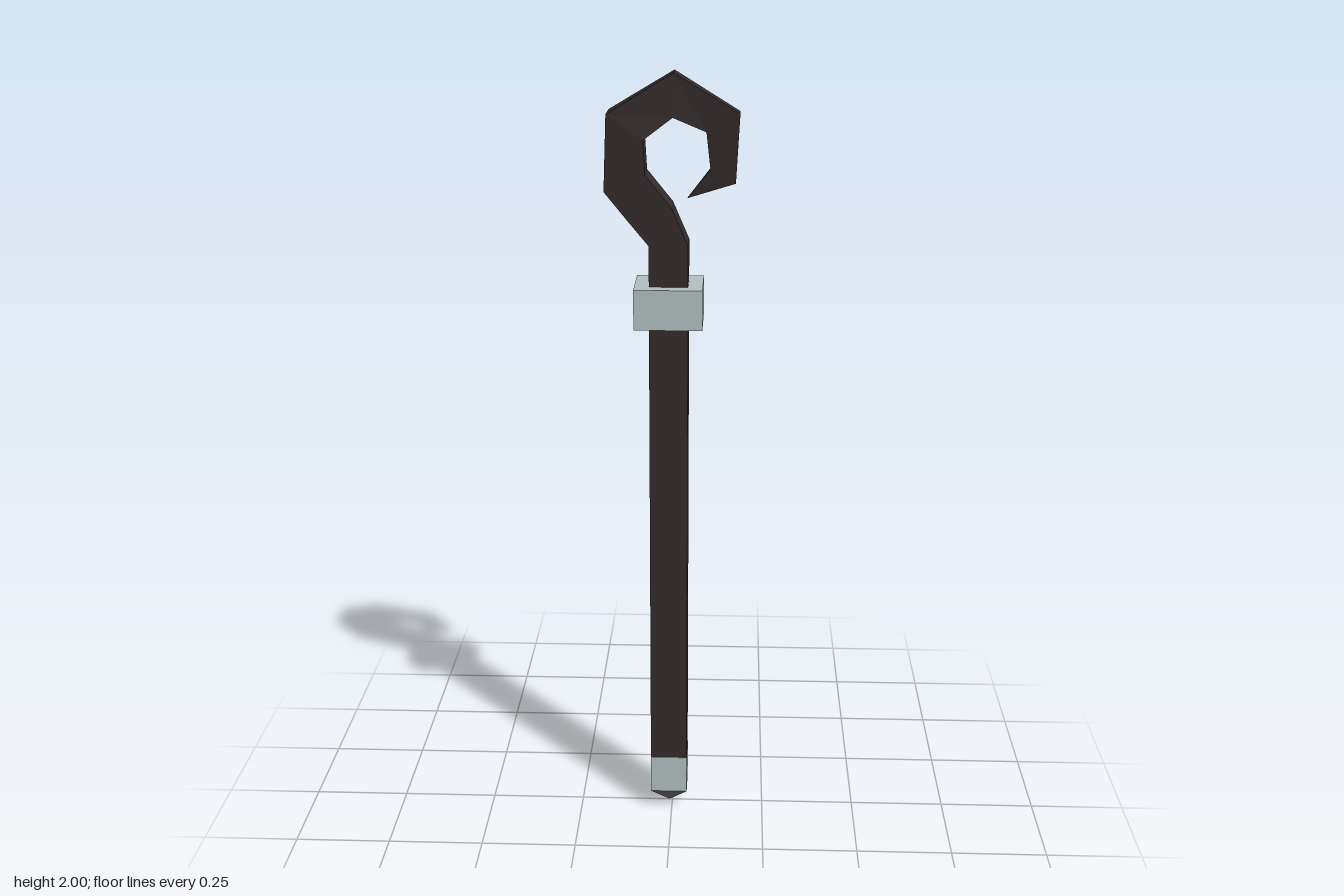
import * as THREE from 'three';

export function createModel() {
  const model = new THREE.Group();
  model.name = 'hookedStaff';
  const material = (name, color) => {
    const m = new THREE.MeshStandardMaterial({ color, flatShading: true });
    m.name = name;
    return m;
  };
  const wood = material('darkWood', 0x352c2d);
  const metal = material('paleMetal', 0xb3c3c2);
  const point = material('dullPoint', 0x8a7b7d);
  const cx = -0.008, cz = -0.001;

  const add = (name, geometry, mat, y = 0) => {
    const mesh = new THREE.Mesh(geometry, mat);
    mesh.name = name;
    mesh.position.set(cx, y, cz);
    model.add(mesh);
    return mesh;
  };
  // square block between two heights
  const block = (name, width, y0, y1, mat) =>
    add(name, new THREE.BoxGeometry(width, y1 - y0, width), mat, (y0 + y1) / 2);

  block('shaft', 0.098, 0.157, 1.58, wood);
  block('ferrule', 0.099, 0.053, 0.157, metal);
  block('collar', 0.172, 1.375, 1.477, metal);

  // four-sided spike at the foot
  const spike = new THREE.CylinderGeometry(0.07, 0, 0.053, 4);
  spike.rotateY(Math.PI / 4);
  add('footSpike', spike, point, 0.0265);

  // crook cross-sections: outer x, y, inner x, y, half depth
  const rings = [
    [-0.057, 1.58, 0.041, 1.58, 0.049],
    [-0.111, 1.645, 0.0, 1.675, 0.049],
    [-0.167, 1.714, -0.065, 1.755, 0.05],
    [-0.16, 1.902, -0.07, 1.84, 0.05],
    [0.004, 2.0, 0.002, 1.893, 0.037],
    [0.166, 1.902, 0.084, 1.857, 0.025],
    [0.157, 1.73, 0.094, 1.765, 0.011],
    [0.037, 1.692, 0.037, 1.692, 0.003],
  ].map(([ox, oy, ix, iy, d]) => [[ox, oy, d], [ix, iy, d], [ix, iy, -d], [ox, oy, -d]]);
  const positions = [];
  const quad = (a, b, c, d) => positions.push(...a, ...b, ...c, ...a, ...c, ...d);
  for (let i = 0; i < rings.length - 1; i++) {
    for (let k = 0; k < 4; k++) {
      const n = (k + 1) % 4;
      quad(rings[i][k], rings[i][n], rings[i + 1][n], rings[i + 1][k]);
    }
  }
  const crook = new THREE.BufferGeometry();
  crook.setAttribute('position', new THREE.Float32BufferAttribute(positions, 3));
  crook.computeVertexNormals();
  add('crook', crook, wood).position.x = 0;

  return model;
}
